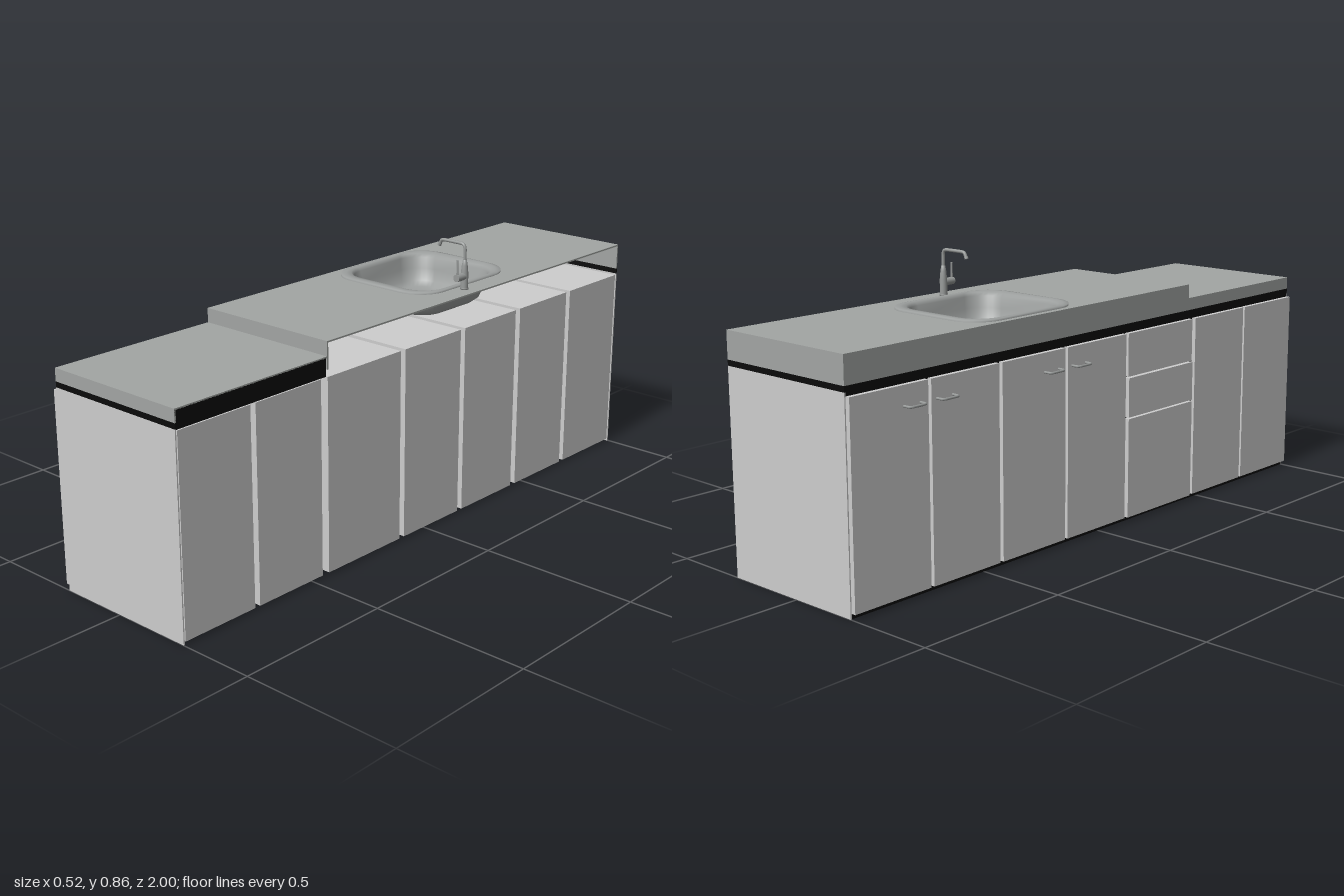
import * as THREE from 'three';

const mat = (name, color, side = THREE.FrontSide) => {
  const m = new THREE.MeshStandardMaterial({ color, side });
  m.name = name;
  return m;
};

export function createModel() {
  const worktop = mat('worktop grey', 0xa2a5a3);
  const panel = mat('cabinet light grey', 0xcdcdcd);
  const black = mat('black trim', 0x0b0b0b);
  const steel = mat('steel', 0x969998);
  const basinSteel = mat('basin steel', 0x9da09f, THREE.DoubleSide);
  const model = new THREE.Group();
  model.name = 'kitchenUnit';

  const add = (name, geo, material, parent = model) => {
    const mesh = new THREE.Mesh(geo, material);
    mesh.name = name;
    parent.add(mesh);
    return mesh;
  };
  // Box given by its limits on each axis
  const block = (name, material, [x0, x1], [y0, y1], [z0, z1], parent) => {
    const mesh = add(name, new THREE.BoxGeometry(x1 - x0, y1 - y0, z1 - z0), material, parent);
    mesh.position.set((x0 + x1) / 2, (y0 + y1) / 2, (z0 + z1) / 2);
    return mesh;
  };
  // Outline of a rounded rectangle, half sizes hx and hz
  const roundRect = (hx, hz, r, steps = 8) => {
    const pts = [];
    const signs = [[1, 1], [-1, 1], [-1, -1], [1, -1]];
    signs.forEach(([sx, sz], q) => {
      for (let i = 0; i <= steps; i++) {
        const a = (q + i / steps) * Math.PI / 2;
        pts.push(new THREE.Vector2(sx * (hx - r) + r * Math.cos(a), sz * (hz - r) + r * Math.sin(a)));
      }
    });
    return pts;
  };

  const BACK = 0.26, FRONT = -0.22, STEP = 0.44;
  const sinkX = -0.006, sinkZ = -0.28;

  // Cabinet bodies, separated by narrow gaps
  const bays = [[-0.992, -0.726], [-0.705, -0.453], [-0.43, -0.174], [-0.153, 0.105],
    [0.126, 0.437], [0.464, 0.716], [0.735, 0.992]];
  bays.forEach((z) => block('cabinetBody', panel, [-0.215, BACK - 0.001], [0.008, 0.605], z));
  block('endPanelNear', panel, [FRONT, BACK], [0, 0.61], [0.996, 1]);
  block('endPanelFar', panel, [FRONT, BACK], [0, 0.61], [-1, -0.996]);

  // Black backing behind the doors and the shadow line under the worktop
  block('frontBacking', black, [-0.221, -0.216], [0.001, 0.627], [-0.9955, 0.9955]);
  for (const z of [[0.995, 1], [-1, -0.995]]) block('endTrim', black, [FRONT, BACK], [0.61, 0.627], z);
  block('lowBackTrim', black, [BACK - 0.005, BACK], [0.608, 0.662], [STEP + 0.004, 0.999]);

  // Doors and drawers on the cabinet fronts
  bays.forEach(([z0, z1], i) => {
    const z = [z0 - 0.005, z1 + 0.005];
    if (i === 4) {
      block('drawerTop', panel, [-0.235, -0.221], [0.465, 0.6], z);
      block('drawerMiddle', panel, [-0.239, -0.221], [0.337, 0.461], z);
      block('drawerBottom', panel, [-0.239, -0.221], [0.016, 0.332], z);
    } else {
      block('door', panel, [-0.235, -0.221], [0.016, 0.6], z);
    }
  });

  // Bow handles on the two door pairs
  for (const z of [-0.78, -0.66, -0.23, -0.11]) {
    const handle = new THREE.Group();
    handle.name = 'handle';
    const path = new THREE.CatmullRomCurve3([[-0.234, -0.03], [-0.257, -0.029], [-0.261, -0.02],
      [-0.261, 0.02], [-0.257, 0.029], [-0.234, 0.03]].map(([x, dz]) => new THREE.Vector3(x, 0.543, z + dz)),
    false, 'catmullrom', 0.2);
    add('handleBar', new THREE.TubeGeometry(path, 24, 0.0038, 8), steel, handle);
    model.add(handle);
  }

  // Raised worktop: hollow, open at the back and below, with a cut-out for the sink
  const slab = new THREE.Shape([[FRONT, -STEP], [BACK, -STEP], [BACK, 1], [FRONT, 1]]
    .map(([x, y]) => new THREE.Vector2(x, y)));
  slab.holes.push(new THREE.Path(roundRect(0.181, 0.192, 0.085)
    .map((p) => new THREE.Vector2(p.x + sinkX, p.y - sinkZ)).reverse()));
  const slabGeo = new THREE.ExtrudeGeometry(slab, { depth: 0.005, bevelEnabled: false });
  slabGeo.rotateX(-Math.PI / 2);
  add('worktopHigh', slabGeo, worktop).position.y = 0.705;
  block('apronHigh', worktop, [FRONT, FRONT + 0.005], [0.627, 0.705], [-1, STEP]);
  block('worktopEndFar', worktop, [FRONT + 0.005, BACK], [0.627, 0.705], [-1, -0.995]);
  block('worktopStep', worktop, [FRONT + 0.005, BACK], [0.627, 0.705], [STEP - 0.005, STEP]);

  // Lower worktop
  block('worktopLow', worktop, [FRONT, BACK], [0.661, 0.666], [STEP, 1]);
  block('apronLow', worktop, [FRONT, FRONT + 0.005], [0.627, 0.661], [STEP, 1]);
  block('worktopEndNear', worktop, [FRONT + 0.005, BACK], [0.627, 0.661], [0.995, 1]);

  // Sink lofted through rounded rectangles: half x, half z, radius, height
  const rings = [[0.195, 0.222, 0.095, 0.71], [0.194, 0.221, 0.094, 0.716], [0.183, 0.207, 0.09, 0.7175],
    [0.177, 0.186, 0.085, 0.714], [0.17, 0.177, 0.08, 0.705], [0.163, 0.17, 0.078, 0.67],
    [0.15, 0.157, 0.075, 0.633], [0.132, 0.14, 0.07, 0.618], [0.1, 0.108, 0.06, 0.612],
    [0.002, 0.002, 0.001, 0.609]];
  const verts = [], index = [];
  let n = 0;
  rings.forEach(([hx, hz, r, y], k) => {
    const pts = roundRect(hx, hz, r);
    n = pts.length;
    pts.forEach((p) => verts.push(p.x, y, p.y));
    if (k === 0) return;
    for (let i = 0; i < n; i++) {
      const j = (i + 1) % n, a = (k - 1) * n, b = k * n;
      index.push(a + i, b + i, a + j, a + j, b + i, b + j);
    }
  });
  const sinkGeo = new THREE.BufferGeometry();
  sinkGeo.setAttribute('position', new THREE.Float32BufferAttribute(verts, 3));
  sinkGeo.setIndex(index);
  sinkGeo.computeVertexNormals();
  add('sink', sinkGeo, basinSteel).position.set(sinkX, 0, sinkZ);

  // Tap: turned body, bent spout and side lever
  const tap = new THREE.Group();
  tap.name = 'tap';
  tap.position.set(0.214, 0.71, -0.222);
  const profile = [[0, 0], [0.013, 0], [0.013, 0.004], [0.0115, 0.006], [0.0115, 0.05], [0.009, 0.075],
    [0.006, 0.092], [0, 0.092]].map(([x, y]) => new THREE.Vector2(x, y));
  add('tapBody', new THREE.LatheGeometry(profile, 20), steel, tap);
  const spout = new THREE.CatmullRomCurve3([[0, 0.08], [0, 0.125], [-0.004, 0.137], [-0.016, 0.141],
    [-0.08, 0.141], [-0.092, 0.138], [-0.098, 0.126]].map(([x, y]) => new THREE.Vector3(x, y, 0)),
  false, 'catmullrom', 0.3);
  add('tapSpout', new THREE.TubeGeometry(spout, 40, 0.0052, 10), steel, tap);
  const nozzle = add('tapNozzle', new THREE.CylinderGeometry(0.006, 0.006, 0.008, 12), steel, tap);
  nozzle.position.set(-0.099, 0.125, 0);
  nozzle.rotation.z = -0.45;
  const knob = add('tapKnob', new THREE.CylinderGeometry(0.0115, 0.0115, 0.036, 18), steel, tap);
  knob.rotation.x = Math.PI / 2;
  knob.position.set(0, 0.041, 0.022);
  const lever = add('tapLever', new THREE.CylinderGeometry(0.003, 0.004, 0.055, 10), steel, tap);
  lever.position.set(0, 0.07, 0.035);
  model.add(tap);

  return model;
}
